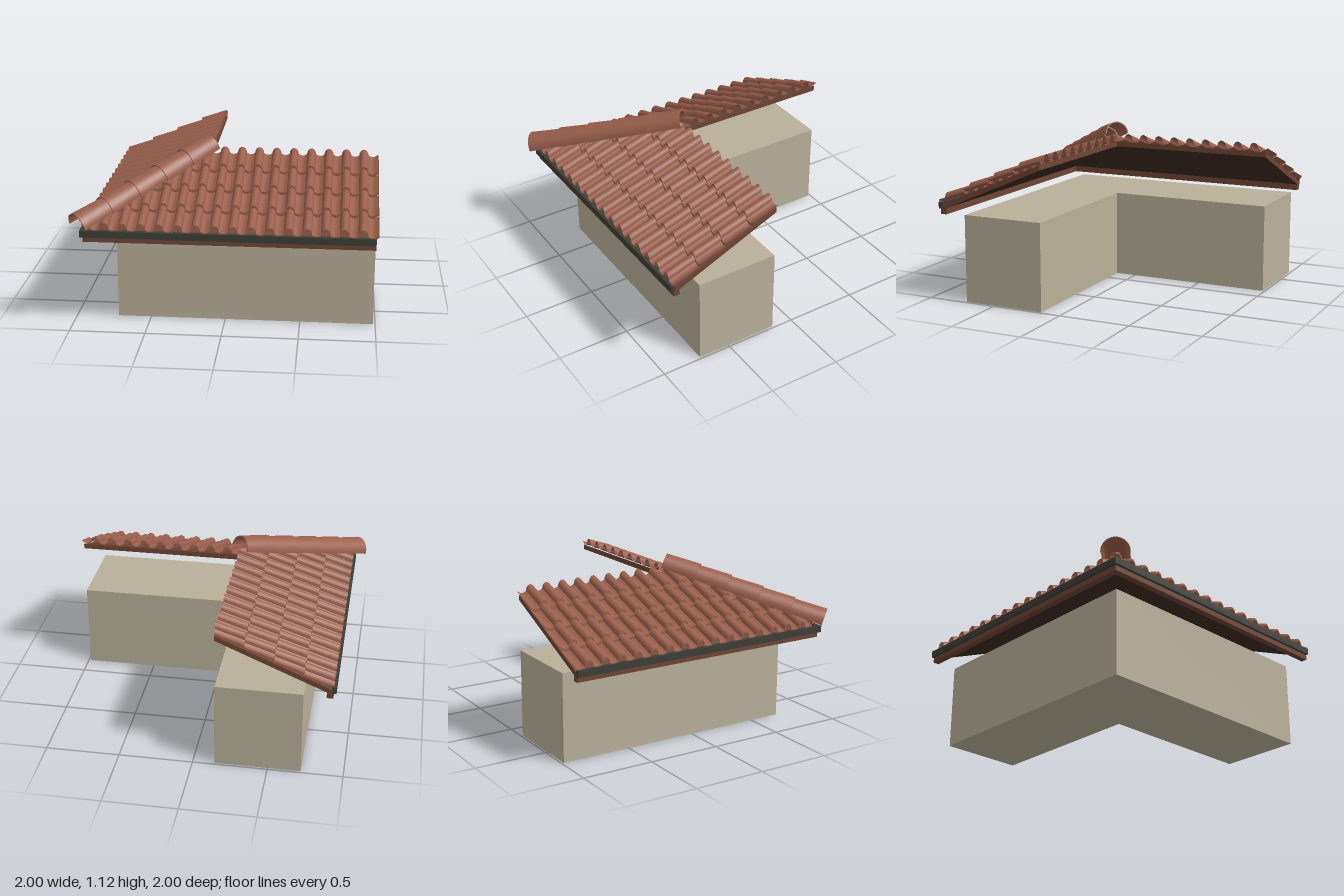
import * as THREE from 'three';
import { toCreasedNormals } from 'three/addons/utils/BufferGeometryUtils.js';

const mat = (name, color, side = THREE.FrontSide) => {
  const m = new THREE.MeshStandardMaterial({ color, side });
  m.name = name;
  return m;
};

// Geometry from quads, each given as four [x, y, z] corners
function quads(list) {
  const pos = [];
  for (const [a, b, c, d] of list) pos.push(...a, ...b, ...c, ...a, ...c, ...d);
  const g = new THREE.BufferGeometry();
  g.setAttribute('position', new THREE.Float32BufferAttribute(pos, 3));
  g.computeVertexNormals();
  return g;
}

// Reflects a geometry across the hip: (x, y, z) -> (-z, y, -x)
function mirrored(geo) {
  const src = geo.index ? geo.toNonIndexed() : geo;
  const p = src.attributes.position, n = src.attributes.normal;
  const pos = [], nor = [];
  for (let i = 0; i < p.count; i += 3) {
    for (const j of [i, i + 2, i + 1]) {
      pos.push(-p.getZ(j), p.getY(j), -p.getX(j));
      nor.push(-n.getZ(j), n.getY(j), -n.getX(j));
    }
  }
  const g = new THREE.BufferGeometry();
  g.setAttribute('position', new THREE.Float32BufferAttribute(pos, 3));
  g.setAttribute('normal', new THREE.Float32BufferAttribute(nor, 3));
  return g;
}

const SLOPE = 0.43, RIDGE = 0.14, EAVE = 0.91;
const roofY = (z, top) => top - SLOPE * (z - RIDGE);

// Tile cross-section along the eave: round covers with shallow pans between
function tileProfile() {
  const pitch = 0.119, r = 0.031, pts = [];
  for (let k = 15; k >= 0; k--) {
    const cx = 0.9 - k * pitch;
    for (let i = 0; i <= 8; i++) {
      const a = (Math.PI * i) / 8;
      pts.push([cx - r * Math.cos(a), 0.04 * Math.sin(a)]);
    }
    for (let i = 1; i < 4; i++) {
      pts.push([cx + r + ((pitch - 2 * r) * i) / 4, -0.012 * Math.sin((Math.PI * i) / 4)]);
    }
  }
  pts.push([0.988, 0], [1, 0.008]);
  return pts;
}

// One stepped course of tiles, cut off along the hip
function tileCourse(zLow, zHigh, profile) {
  const list = [], lift = 0.017, lip = 0.014;
  const column = ([x, h]) => {
    const z = Math.min(zLow, Math.max(zHigh, -x));
    const t = (z - zHigh) / (zLow - zHigh);
    const y = roofY(zLow, 0.998) + lift + h;
    return {
      under: [x, y - lip, zLow],
      low: [x, y, zLow],
      high: [x, roofY(z, 0.998) + lift * t + h, z],
      cut: -x >= zLow,
    };
  };
  for (let i = 0; i + 1 < profile.length; i++) {
    const a = column(profile[i]), b = column(profile[i + 1]);
    if (a.cut || b.cut) continue;
    list.push([a.low, b.low, b.high, a.high], [a.under, b.under, b.low, a.low]);
  }
  return toCreasedNormals(quads(list), 0.7);
}

function box(x0, x1, y0, y1, z0, z1) {
  return new THREE.BoxGeometry(x1 - x0, y1 - y0, z1 - z0)
    .translate((x0 + x1) / 2, (y0 + y1) / 2, (z0 + z1) / 2);
}

export function createModel() {
  const model = new THREE.Group();
  model.name = 'cornerRoof';
  const tile = mat('terracotta', 0x9a5f4b, THREE.DoubleSide);
  const wood = mat('brownWood', 0x6e4535);
  const dark = mat('darkUnderside', 0x3c2a23, THREE.DoubleSide);
  const metal = mat('gutterGrey', 0x3e3e38);
  const plaster = mat('plaster', 0xb9b09a);

  const add = (name, geo, material, parent = model) => {
    const m = new THREE.Mesh(geo, material);
    m.name = name;
    parent.add(m);
    return m;
  };

  // L-shaped wall block
  const plan = new THREE.Shape([
    [-0.72, -0.72], [0.985, -0.72], [0.985, -0.145],
    [-0.145, -0.145], [-0.145, 0.985], [-0.72, 0.985],
  ].map(([x, y]) => new THREE.Vector2(x, y)));
  add('walls', new THREE.ExtrudeGeometry(plan, { depth: 0.6, bevelEnabled: false })
    .rotateX(-Math.PI / 2), plaster);

  // Parts of one wing; the other wing is its reflection
  const parts = [];

  // Sloping roof deck
  const corner = (x, z, top) => [x, roofY(z, top), z];
  const ring = (top) => [[-0.9, 0.9], [0.985, 0.9], [0.985, 0.145], [-0.145, 0.145]]
    .map(([x, z]) => corner(x, z, top));
  const t = ring(0.98), u = ring(0.945);
  const sides = [0, 1, 2].map((i) => [u[i], u[i + 1], t[i + 1], t[i]]);
  parts.push(['roofDeck', quads([t, ...sides]), wood]);
  parts.push(['deckUnderside', quads([[u[3], u[2], u[1], u[0]]]), dark]);

  // Fascia board and gutter
  parts.push(['fascia', box(-0.908, 0.983, 0.59, 0.645, 0.865, 0.908), wood]);
  parts.push(['gutter', box(-0.926, 0.983, 0.625, 0.671, 0.895, 0.926), metal]);

  // Four tile courses from eave to top
  const profile = tileProfile(), courses = 4, step = (EAVE - RIDGE) / courses;
  for (let i = 0; i < courses; i++) {
    const zLow = EAVE - i * step;
    parts.push(['tileCourse' + (i + 1), tileCourse(zLow, zLow - step, profile), tile]);
  }

  const front = new THREE.Group(), side = new THREE.Group();
  front.name = 'frontWing';
  side.name = 'sideWing';
  model.add(front, side);
  for (const [name, geo, material] of parts) {
    add(name, geo, material, front);
    add(name, mirrored(geo), material, side);
  }

  // Overlapping half-round caps along the hip
  const caps = new THREE.Group();
  caps.name = 'hipCaps';
  model.add(caps);
  const start = new THREE.Vector3(-0.932, 0.7, 0.932);
  const end = new THREE.Vector3(-0.15, 1.035, 0.15);
  const dir = end.clone().sub(start);
  const count = 5, len = dir.length() / count;
  dir.normalize();
  const across = new THREE.Vector3(1, 0, 1).normalize();
  const normal = new THREE.Vector3().crossVectors(across, dir);
  const shell = [[0.095, 0], [0.085, len + 0.012], [0.077, len + 0.012], [0.087, 0], [0.095, 0]]
    .map(([x, y]) => new THREE.Vector2(x, y));
  const capGeo = toCreasedNormals(
    new THREE.LatheGeometry(shell, 16, -Math.PI / 2, Math.PI), 0.6);
  const basis = new THREE.Matrix4().makeBasis(across, dir, normal);
  for (let i = 0; i < count; i++) {
    const cap = add('hipCap' + (i + 1), capGeo, tile, caps);
    cap.quaternion.setFromRotationMatrix(basis);
    cap.position.copy(start).addScaledVector(dir, i * len);
  }
  return model;
}
